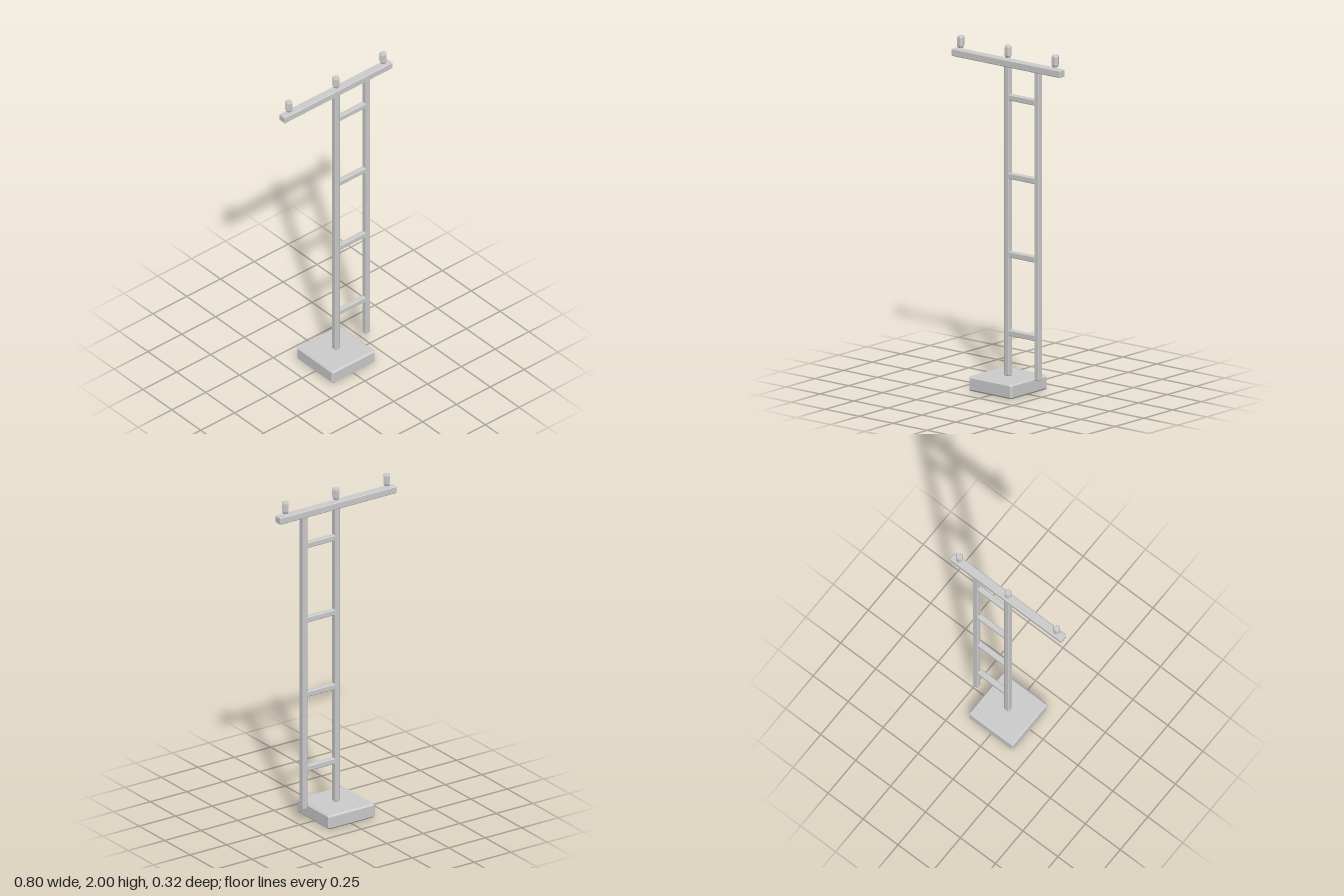
import * as THREE from 'three';
import { ConvexGeometry } from 'three/addons/geometries/ConvexGeometry.js';

const material = new THREE.MeshStandardMaterial({ color: 0xcccccc, flatShading: true });

// Box with every edge cut by a flat bevel
function bevelBox(w, h, d, b) {
  const points = [];
  for (const x of [-w / 2, w / 2])
    for (const y of [-h / 2, h / 2])
      for (const z of [-d / 2, d / 2]) {
        const inset = (v) => v - Math.sign(v) * b;
        points.push(new THREE.Vector3(x, inset(y), inset(z)));
        points.push(new THREE.Vector3(inset(x), y, inset(z)));
        points.push(new THREE.Vector3(inset(x), inset(y), z));
      }
  return new ConvexGeometry(points);
}

export function createModel() {
  const group = new THREE.Group();
  const add = (name, geometry, x, y) => {
    const mesh = new THREE.Mesh(geometry, material);
    mesh.name = name;
    mesh.position.set(x, y, 0);
    group.add(mesh);
  };

  // Square foot block
  add('base', bevelBox(0.318, 0.086, 0.318, 0.01), 0, 0.043);

  // Main pole and the ladder's outer rail
  const railX = 0.223;
  add('pole', bevelBox(0.034, 1.794, 0.034, 0.004), 0, 0.983);
  add('ladderRail', bevelBox(0.034, 1.788, 0.034, 0.004), railX, 0.986);

  // Evenly spaced rungs
  const rung = bevelBox(railX - 0.028, 0.034, 0.032, 0.004);
  for (let i = 0; i < 4; i++) add('rung', rung, railX / 2, 0.337 + i * 0.455);

  // Crossarm with three six-sided insulators
  add('crossarm', bevelBox(0.798, 0.042, 0.05, 0.004), 0, 1.899);
  const profile = [[0, 0], [0.015, 0], [0.0215, 0.013], [0.0215, 0.061], [0.017, 0.07], [0, 0.07]]
    .map(([r, y]) => new THREE.Vector2(r, y));
  const insulator = new THREE.LatheGeometry(profile, 6, Math.PI / 2);
  for (const x of [-0.348, 0, 0.348]) add('insulator', insulator, x, 1.93);

  return group;
}
